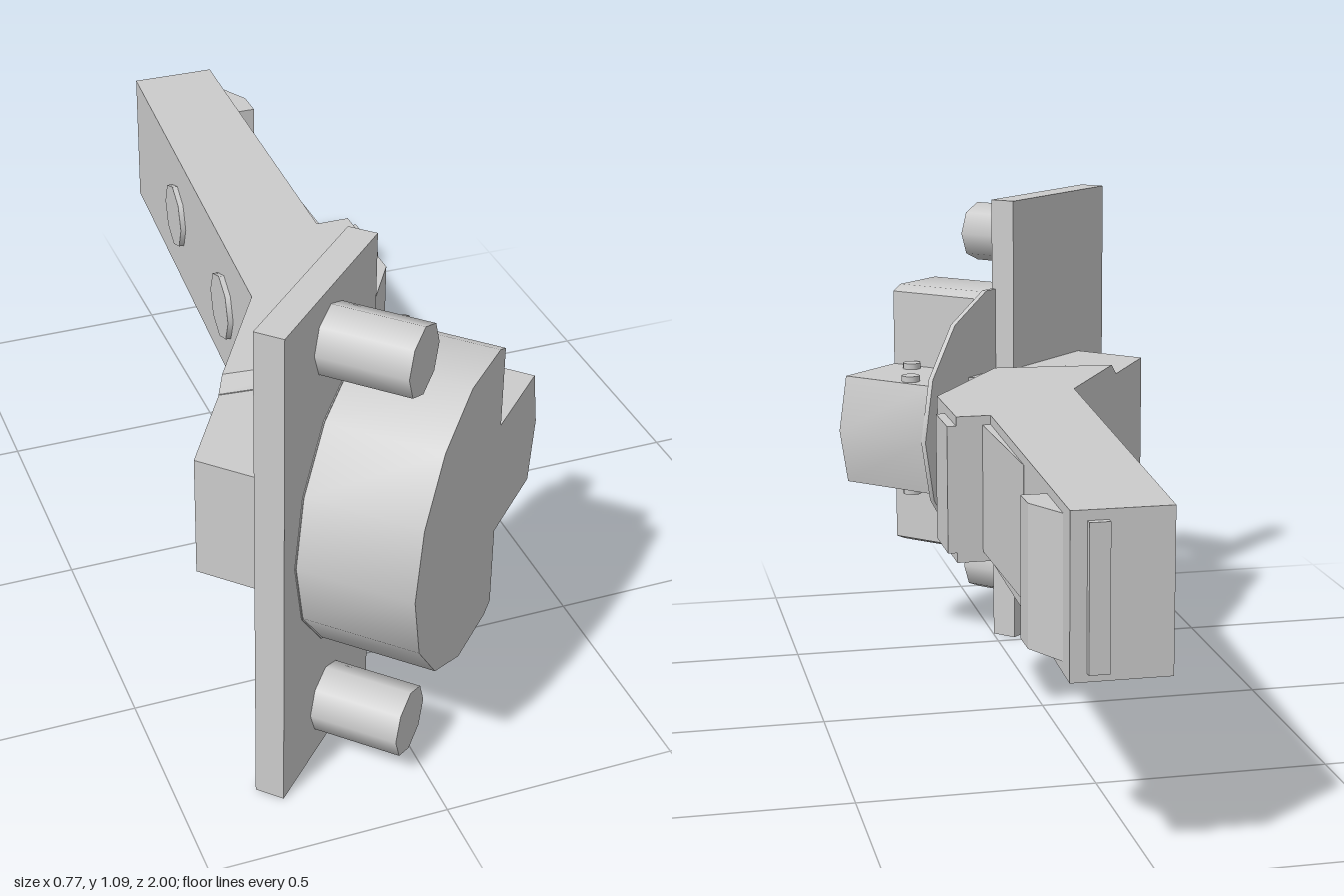
import * as THREE from 'three';
import { toCreasedNormals } from 'three/addons/utils/BufferGeometryUtils.js';
import { ConvexGeometry } from 'three/addons/geometries/ConvexGeometry.js';

const MID = 0.547; // height of the horizontal mirror plane
const material = new THREE.MeshStandardMaterial({ color: 0xcccccc });

function add(parent, name, geometry) {
  const mesh = new THREE.Mesh(geometry, material);
  mesh.name = name;
  parent.add(mesh);
  return mesh;
}

function extrude(points, depth) {
  const shape = new THREE.Shape(points.map(([a, b]) => new THREE.Vector2(a, b)));
  return new THREE.ExtrudeGeometry(shape, { depth, bevelEnabled: false });
}

// Prism from a plan outline of [x, z] points between two heights
function plan(points, y0, y1) {
  return extrude(points, y1 - y0).rotateX(Math.PI / 2).translate(0, y1, 0);
}

// Corner k of the fourteen-sided cup
function corner(k, r) {
  const a = (k * Math.PI * 2) / 14;
  return [r * Math.cos(a), r * Math.sin(a)];
}

function createArm(root) {
  const arm = new THREE.Group();
  arm.name = 'arm';
  root.add(arm);

  // Cranked beam, with a step on its +x side
  add(arm, 'beam', plan([
    [-0.024, -0.985], [0.172, -0.985], [0.165, -0.77], [0.145, -0.14],
    [0.22, -0.14], [0.22, 0.09], [0.026, 0.4], [-0.254, 0.375], [-0.098, 0.11],
  ], 0.388, 0.71));

  // Sloped step from the beam down to the slimmer base
  const slope = [];
  for (const s of [-1, 1]) {
    for (const [x, z, h] of [[-0.254, 0.375, 0.161], [0.026, 0.4, 0.161],
      [-0.272, 0.405, 0.135], [0.01, 0.428, 0.135]]) {
      slope.push(new THREE.Vector3(x, 0.549 + s * h, z));
    }
  }
  add(arm, 'beamStep', new ConvexGeometry(slope));

  add(arm, 'base', plan([
    [-0.254, 0.375], [0.026, 0.4], [0.01, 0.428], [-0.045, 0.52], [-0.259, 0.734], [-0.389, 0.603],
  ], 0.412, 0.682));

  // Raised pads along the +x side and at the far end
  add(arm, 'stepPad', plan([[0.2, -0.14], [0.24, -0.14], [0.24, -0.005], [0.2, -0.005]], 0.41, 0.69));
  add(arm, 'sideWedge', plan([[0.14, -0.53], [0.158, -0.53], [0.163, -0.14], [0.14, -0.14]], 0.41, 0.69));
  add(arm, 'endCatch', plan([[0.16, -0.925], [0.169, -0.925], [0.216, -0.835], [0.216, -0.77], [0.15, -0.77]], 0.41, 0.69));
  add(arm, 'endStrip', plan([[0.1, -1], [0.14, -1], [0.14, -0.98], [0.1, -0.98]], 0.405, 0.69));

  // Round covers on the -x side
  for (const z of [-0.56, -0.125]) {
    const x = -0.024 - (z + 0.985) * 0.0676;
    const cover = add(arm, 'sideCover', new THREE.CylinderGeometry(0.078, 0.078, 0.024, 8));
    cover.rotation.set(0, -0.0675, Math.PI / 2);
    cover.position.set(x, 0.55, z);
  }

  // Link leaves reaching from the base to the cup
  for (const y of [0.42, 0.615]) {
    add(arm, 'link', plan([[-0.01, 0.455], [0.005, 0.45], [0.08, 0.474], [0.05, 0.51], [0, 0.555], [-0.045, 0.52]], y, y + 0.06));
  }
}

// Local x runs along the plate, local z out of the cup face
function createCup(root) {
  const mount = new THREE.Group();
  mount.name = 'cupMount';
  mount.rotation.y = Math.PI / 4;
  root.add(mount);

  add(mount, 'plate', new THREE.BoxGeometry(0.418, 1.09, 0.062)).position.set(-0.609, 0.545, 0.367);

  // Cup with two corner notches that leave a tongue
  const r = 0.333, cut = 0.105, half = 0.13;
  const outline = [[r, 0], [0.303, half], [cut, half], [cut, 0.311]];
  for (let k = 3; k <= 11; k++) outline.push(corner(k, r));
  outline.push([cut, -0.311], [cut, -half], [0.303, -half]);
  const cup = add(mount, 'cup', toCreasedNormals(extrude(outline, 0.245), 0.5));
  cup.position.set(-0.435, MID, 0.398);

  // Thin full rim behind the cup
  const rim = [];
  for (let k = 0; k < 14; k++) rim.push(corner(k, 0.336));
  add(mount, 'rim', toCreasedNormals(extrude(rim, 0.012), 0.5)).position.set(-0.435, MID, 0.388);

  // Pegs above and below the cup
  for (const y of [0.115, 0.98]) {
    const peg = add(mount, 'peg', new THREE.CylinderGeometry(0.073, 0.073, 0.205, 8));
    peg.rotation.x = Math.PI / 2;
    peg.position.set(-0.617, y, 0.4825);
  }
}

export function createModel() {
  const root = new THREE.Group();
  root.name = 'cabinetHinge';
  createArm(root);
  createCup(root);

  // Pin heads on both faces of the base and the tongue
  for (const [x, z, radius] of [[-0.167, 0.46, 0.029], [0.22, 0.45, 0.022], [0.19, 0.615, 0.022]]) {
    const pin = add(root, 'pin', new THREE.CylinderGeometry(radius, radius, 0.288, 10));
    pin.position.set(x, MID, z);
  }
  return root;
}
